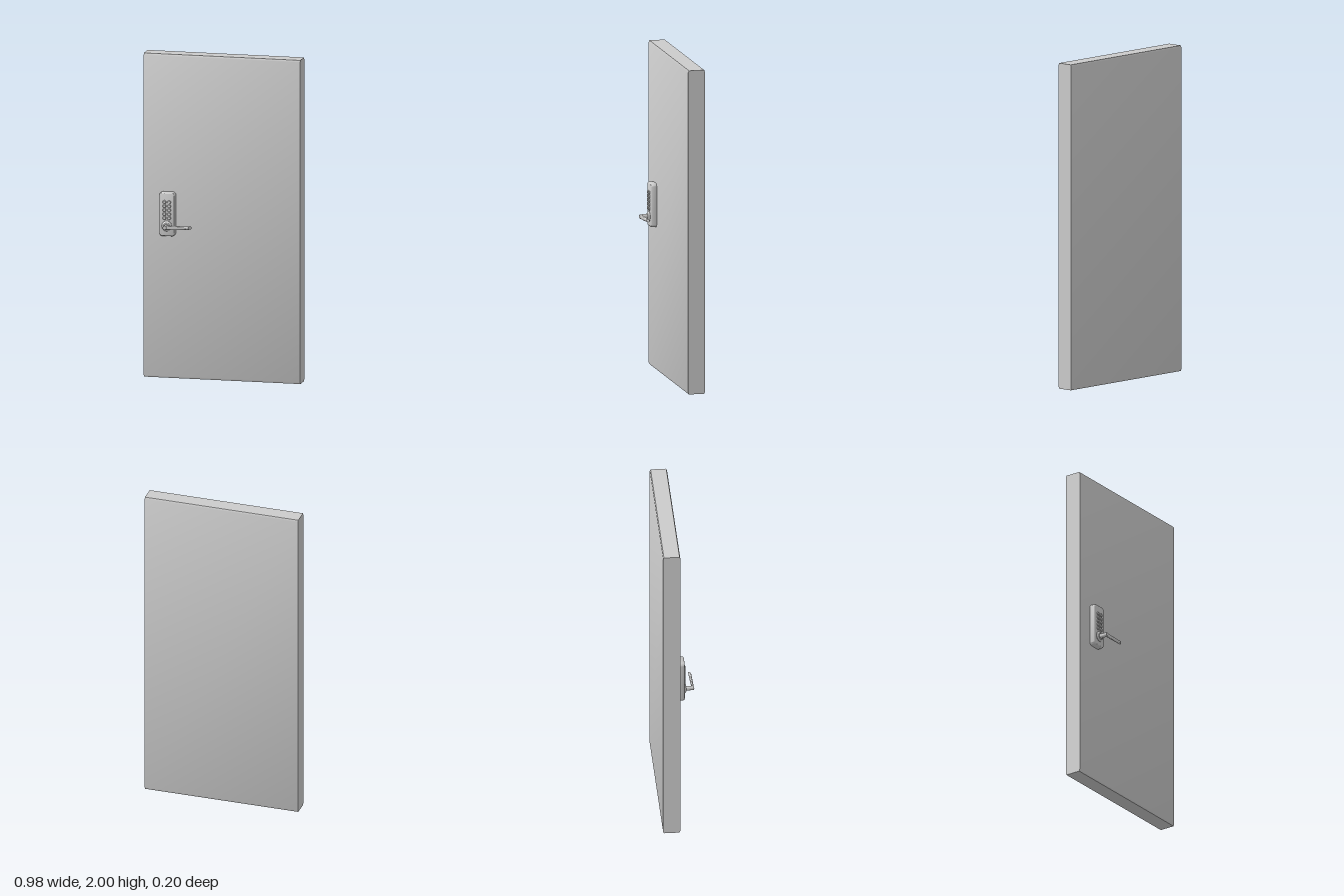
import * as THREE from 'three';
import { toCreasedNormals } from 'three/addons/utils/BufferGeometryUtils.js';

const grey = new THREE.MeshStandardMaterial({ color: 0xcccccc });
const LOCK_X = -0.335;
const LEVER_Y = 0.945;

function add(parent, name, geometry, x = 0, y = 0, z = 0) {
  const mesh = new THREE.Mesh(geometry, grey);
  mesh.name = name;
  mesh.position.set(x, y, z);
  parent.add(mesh);
  return mesh;
}

// Turned part whose axis runs along z; points are [radius, z]
function turned(points, segments = 24) {
  const g = new THREE.LatheGeometry(points.map(([r, z]) => new THREE.Vector2(r, z)), segments);
  return toCreasedNormals(g.rotateX(Math.PI / 2), 0.6);
}

function roundedRect(w, h, r) {
  const s = new THREE.Shape();
  s.absarc(w / 2 - r, h / 2 - r, r, 0, Math.PI / 2);
  s.absarc(-w / 2 + r, h / 2 - r, r, Math.PI / 2, Math.PI);
  s.absarc(-w / 2 + r, -h / 2 + r, r, Math.PI, Math.PI * 1.5);
  s.absarc(w / 2 - r, -h / 2 + r, r, Math.PI * 1.5, Math.PI * 2);
  s.closePath();
  return s;
}

// Door slab: side profile with softened top and bottom edges, swept across x
function doorGeometry() {
  const w = 0.976, front = 0.003, back = -0.102, c = 0.005, e = 0.012;
  const profile = [
    [front - c, 0], [front, e], [front, 2 - e], [front - c, 2],
    [back + c, 2], [back, 2 - e], [back, e], [back + c, 0],
  ].map(([z, y]) => new THREE.Vector2(-z, y));
  const g = new THREE.ExtrudeGeometry(new THREE.Shape(profile), { depth: w, bevelEnabled: false });
  g.translate(0, 0, -w / 2).rotateY(Math.PI / 2);
  return toCreasedNormals(g, 0.6);
}

// Lever arm: tapering oval bar along x with an obliquely cut tip
function leverGeometry() {
  const length = 0.155;
  const g = new THREE.CylinderGeometry(1, 1, 1, 20, 8);
  g.rotateZ(-Math.PI / 2);
  const p = g.attributes.position;
  for (let i = 0; i < p.count; i++) {
    const t = p.getX(i) + 0.5;
    const y = p.getY(i) * THREE.MathUtils.lerp(0.014, 0.010, t);
    const z = p.getZ(i) * THREE.MathUtils.lerp(0.007, 0.009, t);
    p.setXYZ(i, t * (length - z * 0.9), y + 0.004 * t * t, z - 0.006 * t);
  }
  g.computeVertexNormals();
  return toCreasedNormals(g, 0.7);
}

export function createModel() {
  const model = new THREE.Group();
  model.name = 'doorWithKeypadLock';
  add(model, 'doorSlab', doorGeometry());

  const lock = new THREE.Group();
  lock.name = 'keypadLock';
  model.add(lock);

  // Lock case with rounded front edges
  const bevel = 0.008;
  const caseGeometry = new THREE.ExtrudeGeometry(roundedRect(0.096 - 2 * bevel, 0.27 - 2 * bevel, 0.01), {
    depth: 0.032, bevelSize: bevel, bevelThickness: bevel, bevelSegments: 4, curveSegments: 6,
  });
  add(lock, 'lockCase', toCreasedNormals(caseGeometry, 0.7), LOCK_X, 1.017, -0.001);

  // Keypad: two columns of five buttons
  const button = turned([[0.0115, 0], [0.0115, 0.005], [0.009, 0.008], [0, 0.0085]], 16);
  for (let row = 0; row < 5; row++) {
    for (const side of [-1, 1]) {
      add(lock, 'keypadButton', button, LOCK_X + side * 0.0145, 1.093 - row * 0.0245, 0.038);
    }
  }

  // Rosette, spindle and lever
  const handle = new THREE.Group();
  handle.name = 'leverHandle';
  handle.position.set(LOCK_X, LEVER_Y, 0);
  lock.add(handle);
  add(handle, 'rosette', turned([[0.032, 0.036], [0.032, 0.041], [0.025, 0.047], [0.021, 0.05], [0, 0.05]]));
  add(handle, 'spindle', turned([[0.0135, 0.045], [0.0135, 0.096], [0.0115, 0.099], [0, 0.1]]));
  add(handle, 'leverArm', leverGeometry(), 0, 0, 0.091);

  return model;
}
